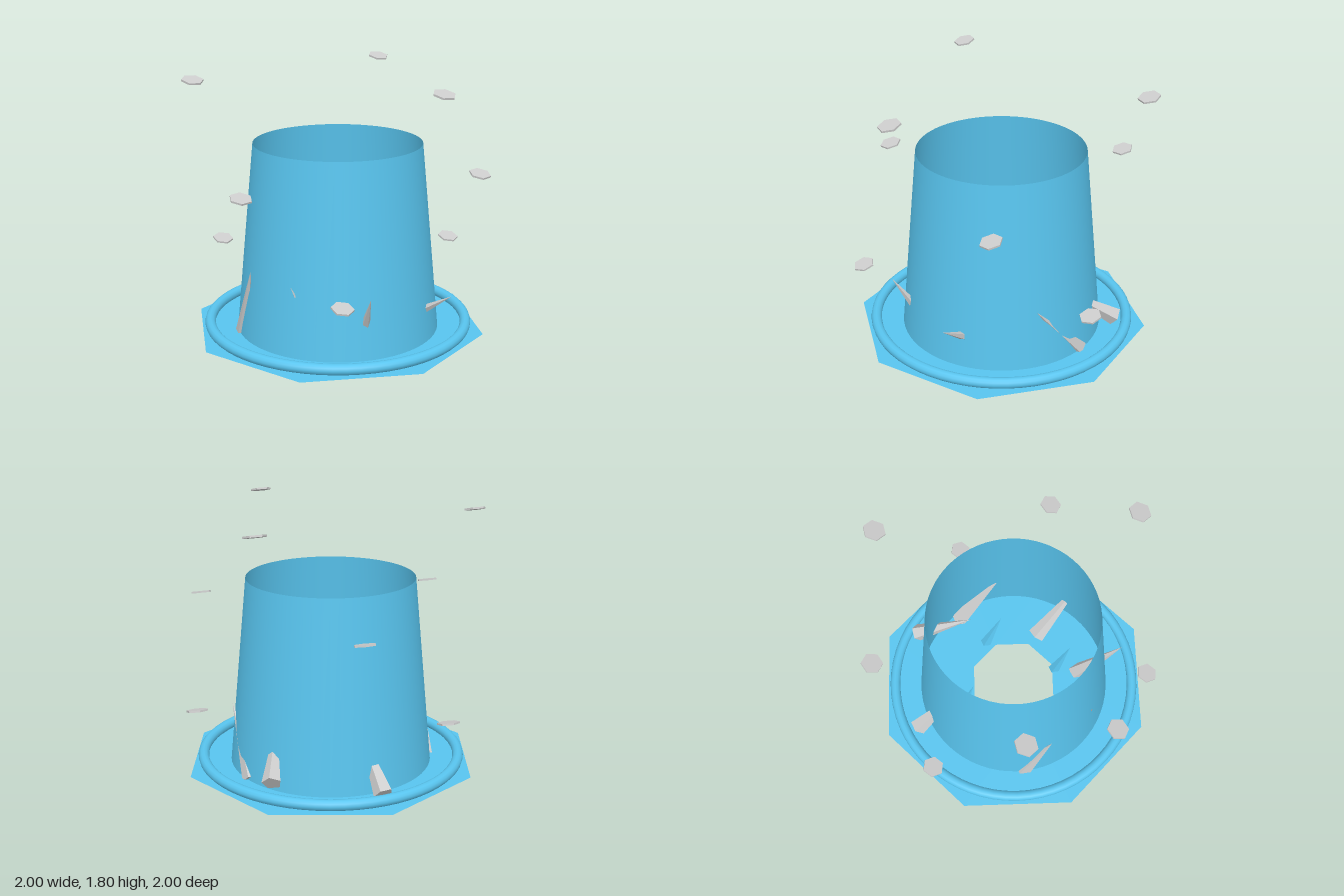
import * as THREE from 'three';

const blue = new THREE.MeshStandardMaterial({ color: 0x58c4ee, side: THREE.DoubleSide });
const blueFlat = new THREE.MeshStandardMaterial({ color: 0x58c4ee, flatShading: true });
const grey = new THREE.MeshStandardMaterial({ color: 0xcccccc, flatShading: true });

function add(parent, name, geometry, material) {
  const mesh = new THREE.Mesh(geometry, material);
  mesh.name = name;
  parent.add(mesh);
  return mesh;
}

// Five-sided spike running from the centre of its base to its tip
function addSpike(parent, name, base, tip, radius, material) {
  const a = new THREE.Vector3(...base);
  const b = new THREE.Vector3(...tip);
  const dir = b.clone().sub(a);
  const spike = add(parent, name, new THREE.ConeGeometry(radius, dir.length(), 5), material);
  spike.position.copy(a).add(b).multiplyScalar(0.5);
  spike.quaternion.setFromUnitVectors(new THREE.Vector3(0, 1, 0), dir.normalize());
}

export function createModel() {
  const model = new THREE.Group();
  model.name = 'energyColumn';

  // Flat octagonal base with an octagonal hole
  const base = add(model, 'octagonBase', new THREE.RingGeometry(0.315, 1, 8), blue);
  base.rotation.x = -Math.PI / 2;
  base.position.y = 0.073;

  // Round rim lying on the base
  const rim = add(model, 'rim', new THREE.TorusGeometry(0.873, 0.036, 12, 64), blue);
  rim.rotation.x = Math.PI / 2;
  rim.position.y = 0.113;

  // Open tapered wall
  const wall = add(model, 'wall', new THREE.CylinderGeometry(0.562, 0.685, 1.272, 64, 1, true), blue);
  wall.position.y = 0.709;

  // Floating hexagonal plates, rising in threes around the wall
  const plates = new THREE.Group();
  plates.name = 'floatingPlates';
  model.add(plates);
  const plateGeometry = new THREE.CylinderGeometry(0.072, 0.072, 0.012, 6);
  for (let i = 0; i < 9; i++) {
    const a = (i / 9) * Math.PI * 2;
    const plate = add(plates, 'plate', plateGeometry, grey);
    plate.position.set(0.937 * Math.cos(a), 0.535 + (i % 3) * 0.625, 0.937 * Math.sin(a));
    plate.rotation.set(0.26, a, 0);
  }

  // Long spikes leaning through the wall
  const outer = new THREE.Group();
  outer.name = 'outerSpikes';
  model.add(outer);
  [
    [[0.25, 0.11, 0.3], [0.4, 0.42, 0.75]],
    [[-0.12, 0.045, 0.46], [-0.22, 0.52, 0.745]],
    [[-0.35, 0.035, 0.45], [-0.56, 0.54, 0.34]],
    [[-0.62, 0.06, -0.2], [-0.66, 0.56, -0.01]],
    [[0.63, 0.07, -0.17], [0.64, 0.48, 0.19]],
    [[0.61, 0.18, -0.51], [0.44, 0.45, -0.14]],
    [[-0.04, 0.11, -0.78], [-0.02, 0.46, -0.4]],
  ].forEach(([b, t]) => addSpike(outer, 'outerSpike', b, t, 0.065, grey));

  // Smaller spikes standing around the hole
  const inner = new THREE.Group();
  inner.name = 'innerSpikes';
  model.add(inner);
  [
    [[0.37, 0.055, -0.06], [0.37, 0.42, 0.07]],
    [[-0.03, 0.055, -0.43], [-0.02, 0.42, -0.32]],
    [[-0.33, 0.055, -0.21], [-0.26, 0.42, -0.26]],
    [[-0.35, 0.055, 0.12], [-0.38, 0.42, 0]],
    [[-0.03, 0.055, 0.32], [-0.04, 0.42, 0.43]],
  ].forEach(([b, t]) => addSpike(inner, 'innerSpike', b, t, 0.043, blueFlat));

  return model;
}
